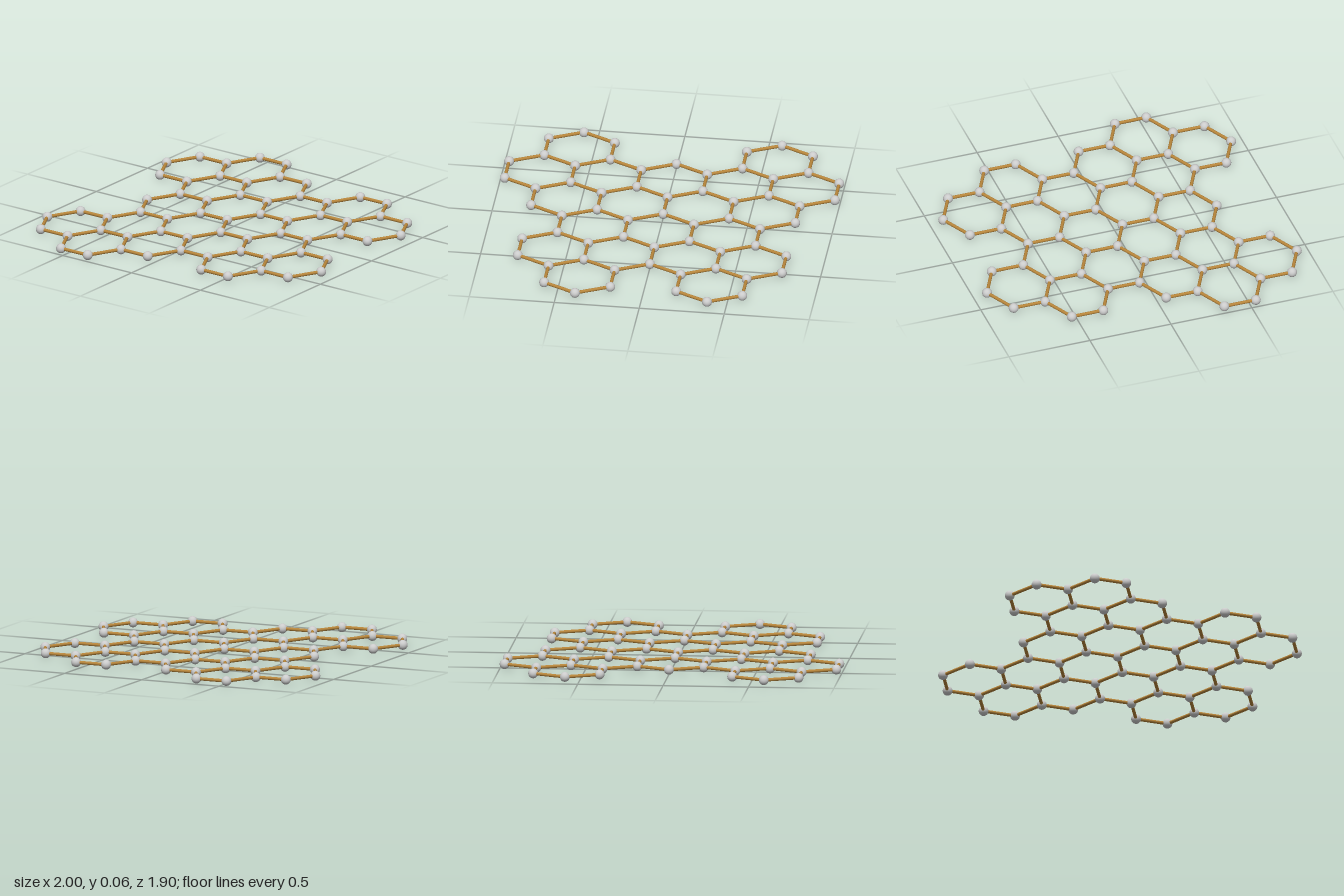
import * as THREE from 'three';

const U = 0.0971;        // lattice unit
const BALL = 0.029;      // node radius, also the height of the sheet's mid-plane
const ROD = 0.0098;      // bond radius

// Hexagon centres in lattice units: [row z, column xs]
const ROWS = [
  [-7.5, [-6, 6]],
  [-4.5, [-8, -4, 0, 4, 8]],
  [-1.5, [-6, -2, 2, 6]],
  [1.5, [-4, 0, 4]],
  [4.5, [-6, -2, 2, 6]],
  [7.5, [-4, 4]],
];
const CORNERS = [[0, -2], [2, -1], [2, 1], [0, 2], [-2, 1], [-2, -1]];

export function createModel() {
  const model = new THREE.Group();
  model.name = 'hexagonalLattice';
  const nodes = new THREE.Group();
  nodes.name = 'nodes';
  const bonds = new THREE.Group();
  bonds.name = 'bonds';
  model.add(nodes, bonds);

  const ballMaterial = new THREE.MeshStandardMaterial({ color: 0xcccccc });
  const rodMaterial = new THREE.MeshStandardMaterial({ color: 0xb8863b });
  const ballGeometry = new THREE.SphereGeometry(BALL, 20, 14);
  const rodGeometry = new THREE.CylinderGeometry(ROD, ROD, 1, 12);
  const up = new THREE.Vector3(0, 1, 0);

  // Corners and sides shared between hexagons are made only once
  const points = new Map();
  const sides = new Set();

  function addNode(x, z) {
    const key = `${x},${z}`;
    if (!points.has(key)) {
      const ball = new THREE.Mesh(ballGeometry, ballMaterial);
      ball.name = 'node';
      ball.position.set(x * U, BALL, z * U);
      nodes.add(ball);
      points.set(key, ball.position);
    }
    return key;
  }

  function addBond(a, b) {
    const key = [a, b].sort().join('|');
    if (sides.has(key)) return;
    sides.add(key);
    const start = points.get(a);
    const span = points.get(b).clone().sub(start);
    const rod = new THREE.Mesh(rodGeometry, rodMaterial);
    rod.name = 'bond';
    rod.position.copy(start).addScaledVector(span, 0.5);
    rod.scale.y = span.length();
    rod.quaternion.setFromUnitVectors(up, span.normalize());
    bonds.add(rod);
  }

  for (const [cz, columns] of ROWS) {
    for (const cx of columns) {
      const ring = CORNERS.map(([x, z]) => addNode(cx + x, cz + z));
      ring.forEach((key, i) => addBond(key, ring[(i + 1) % 6]));
    }
  }
  return model;
}
